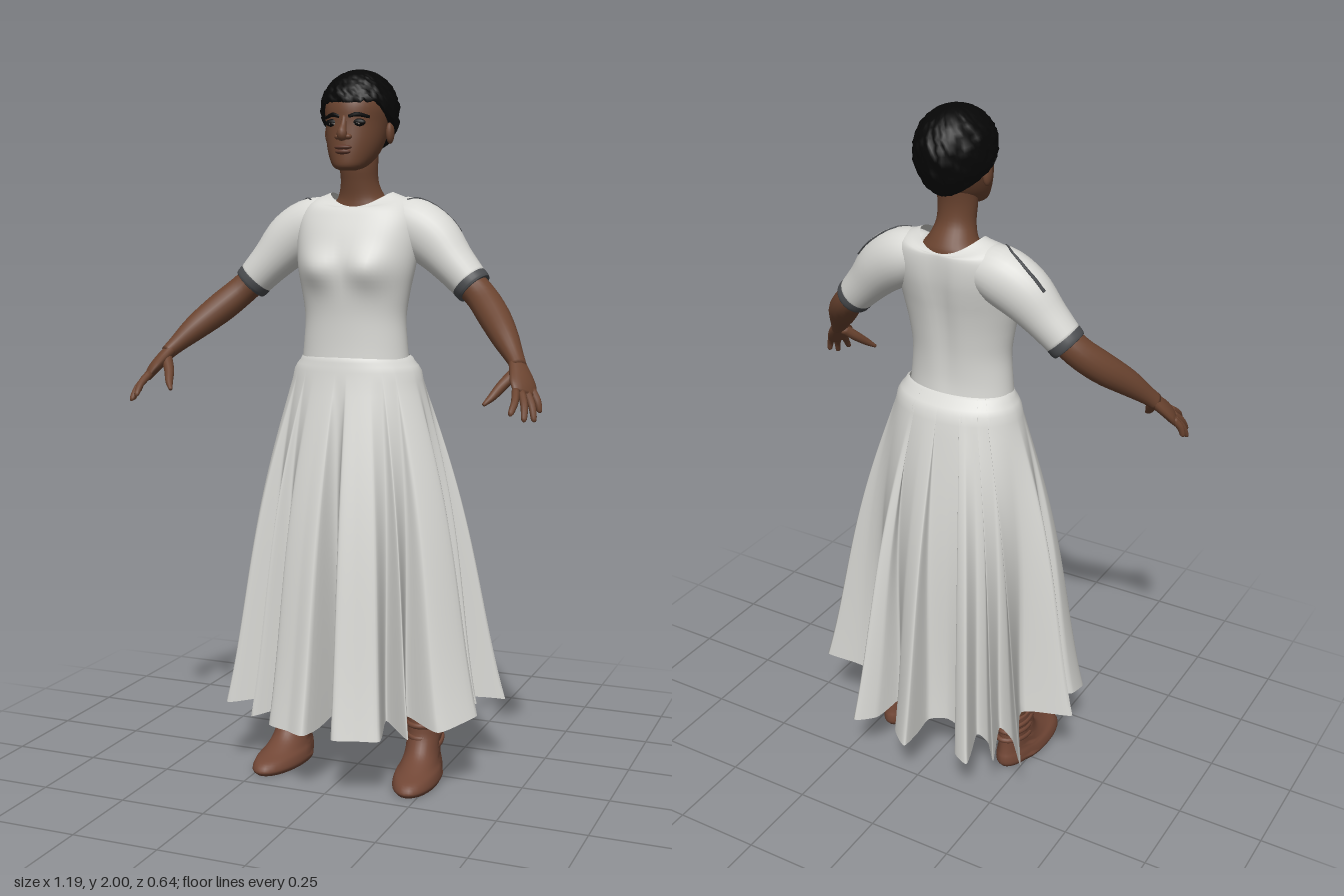
import * as THREE from 'three';

const mat = (name, color, side = THREE.FrontSide) => {
  const m = new THREE.MeshStandardMaterial({ color, side });
  m.name = name;
  return m;
};

// Smoothly resample rows of numbers into `steps` parts per gap
function smooth(rows, steps) {
  const curve = new THREE.CubicInterpolant(rows.map((_, i) => i), rows.flat(), rows[0].length);
  const out = [];
  const n = (rows.length - 1) * steps;
  for (let i = 0; i <= n; i++) out.push([...curve.evaluate(i / steps)]);
  return out;
}

// Skin a list of closed rings of Vector3, with optional end caps
function skin(rings, capStart = true, capEnd = true) {
  const n = rings[0].length, pos = [], idx = [];
  rings.forEach(r => r.forEach(p => pos.push(p.x, p.y, p.z)));
  for (let i = 0; i < rings.length - 1; i++) {
    for (let j = 0; j < n; j++) {
      const a = i * n + j, b = i * n + (j + 1) % n;
      idx.push(a, b, a + n, b, b + n, a + n);
    }
  }
  const cap = (row, flip) => {
    const c = rings[row].reduce((s, p) => s.add(p), new THREE.Vector3()).divideScalar(n);
    const k = pos.length / 3;
    pos.push(c.x, c.y, c.z);
    for (let j = 0; j < n; j++) {
      const a = row * n + j, b = row * n + (j + 1) % n;
      if (flip) idx.push(k, b, a); else idx.push(k, a, b);
    }
  };
  if (capStart) cap(0, true);
  if (capEnd) cap(rings.length - 1, false);
  const g = new THREE.BufferGeometry();
  g.setAttribute('position', new THREE.Float32BufferAttribute(pos, 3));
  g.setIndex(idx);
  g.computeVertexNormals();
  return g;
}

// Upright form from rows of [y, half width, front z, back z, centre x]
function upright(rows, tweak, seg = 40, steps = 4) {
  return smooth(rows.map(r => [r[0], r[1], r[2], r[3], r[4] || 0]), steps).map(([y, rx, zf, zb, cx], i, all) =>
    Array.from({ length: seg }, (_, j) => {
      const a = j / seg * Math.PI * 2;
      const p = new THREE.Vector3(cx + rx * Math.sin(a), y, (zf + zb) / 2 + (zf - zb) / 2 * Math.cos(a));
      if (tweak) tweak(p, a, i / (all.length - 1));
      return p;
    }));
}

// Limb along rows of [x, y, z, radius along wide axis, other radius]
function limb(rows, s = 1, wide = [0, 0, 1], seg = 14, steps = 4) {
  const pts = smooth(rows.map(r => [r[0] * s, r[1], r[2], r[3], r[4] ?? r[3]]), steps);
  const at = i => new THREE.Vector3(...pts[Math.min(Math.max(i, 0), pts.length - 1)].slice(0, 3));
  return skin(pts.map(([, , , ra, rb], i) => {
    const t = at(i + 1).sub(at(i - 1)).normalize();
    const a = new THREE.Vector3(wide[0] * s, wide[1], wide[2]);
    a.addScaledVector(t, -a.dot(t)).normalize();
    const b = t.clone().cross(a);
    return Array.from({ length: seg }, (_, j) => {
      const q = j / seg * Math.PI * 2;
      return at(i).addScaledVector(a, ra * Math.cos(q)).addScaledVector(b, rb * Math.sin(q));
    });
  }));
}

export function createModel() {
  const model = new THREE.Group();
  model.name = 'womanInDress';
  const cloth = mat('dress cloth', 0xd8d8d4, THREE.DoubleSide);
  const trim = mat('cuff trim', 0x4b4d50, THREE.DoubleSide);
  const flesh = mat('skin', 0x6b4430);
  const lip = mat('lips', 0x5f392c);
  const black = mat('hair', 0x060606, THREE.DoubleSide);
  const white = mat('eye white', 0x8a8078);
  const leather = mat('boot leather', 0x724736);
  const add = (name, geo, m) => {
    const mesh = new THREE.Mesh(geo, m);
    mesh.name = name;
    model.add(mesh);
    return mesh;
  };
  const ball = (name, m, x, y, z, rx, ry, rz) => {
    const b = add(name, new THREE.SphereGeometry(1, 16, 12), m);
    b.position.set(x, y, z);
    b.scale.set(rx, ry, rz);
  };
  const step = THREE.MathUtils.smoothstep;

  // Bodice with bust, spine groove, squarer shoulders and scooped neckline
  const bodice = add('bodice', skin(upright([
    [1.19, .158, .118, -.085], [1.25, .152, .115, -.08], [1.32, .148, .115, -.082], [1.39, .158, .12, -.09],
    [1.45, .17, .12, -.1], [1.5, .177, .114, -.11], [1.55, .18, .099, -.118], [1.6, .176, .075, -.12],
    [1.64, .147, .052, -.115], [1.664, .092, .035, -.105],
  ], (p, a, v) => {
    const square = .2 * step(v, .4, .75) * (1 - step(v, .88, 1));
    p.x *= Math.pow(Math.abs(Math.sin(a)) + 1e-6, -square);
    if (Math.cos(a) > 0) {
      const dx = (Math.abs(p.x) - .075) / .06, dy = (p.y - 1.455) / .052;
      p.z += .03 * Math.exp(-dx * dx - dy * dy);
    } else p.z += .012 * Math.exp(-((p.x / .03) ** 2)) * Math.sin(Math.PI * v);
    p.y -= .04 * Math.cos(a) ** 2 * step(v, .8, 1);
  }, 56), false, false), cloth);

  // Skirt: hem outline [x, z], running from the front centre round by +x
  const hem = [
    [0, .13], [.04, .3], [.1, .288], [.17, .265], [.15, .16], [.24, .23], [.2, .13], [.31, .18], [.39, .08],
    [.29, .03], [.36, -.01], [.29, -.05], [.415, -.11], [.3, -.11], [.2, -.13], [.2, -.29], [.145, -.25], [.11, -.17],
    [.065, -.27], [0, -.32], [-.005, -.2], [-.06, -.175], [-.11, -.19], [-.145, -.275], [-.2, -.3], [-.17, -.19],
    [-.215, -.2], [-.26, -.25], [-.225, -.15], [-.28, -.17], [-.34, -.23], [-.26, -.08], [-.4, -.02], [-.29, .04],
    [-.35, .08], [-.34, .17], [-.21, .12], [-.24, .22], [-.15, .15], [-.17, .25], [-.1, .28], [-.04, .3],
  ];
  const outline = new THREE.CatmullRomCurve3(hem.map(([x, z]) => new THREE.Vector3(x, 0, z)), true, 'catmullrom', .3);
  const around = hem.length * 7;
  const edge = Array.from({ length: around }, (_, j) => outline.getPoint(j / around));
  const oval = (p, rx, rf, rb, y) => {
    const a = Math.atan2(p.x / .4, p.z / .3);
    return new THREE.Vector3(rx * Math.sin(a), y, Math.cos(a) * (Math.cos(a) > 0 ? rf : rb));
  };
  // The folds grow from a smooth hip down to the hem
  const skirt = [];
  for (let i = 0; i <= 24; i++) {
    const v = i / 24, bulge = 1 + .2 * Math.sin(Math.PI * v) * v;
    const lerp = (a, b) => a + (b - a) * v;
    skirt.push(edge.map(p => {
      const fold = p.clone().sub(oval(p, .31, .23, .23, 0)).multiplyScalar(Math.pow(1 - v, 1.15));
      const hemY = .225 - (p.z > 0 ? .045 : .065) * step(Math.abs(p.z), .06, .26);
      return oval(p, lerp(.31, .192) * bulge, lerp(.23, .132) * bulge, lerp(.23, .132) * bulge, lerp(hemY, 1.145)).add(fold);
    }));
  }
  [[.187, .128, .126, 1.17], [.178, .125, .115, 1.185], [.168, .122, .1, 1.197], [.162, .12, .092, 1.208], [.154, .114, .084, 1.213]]
    .forEach(r => skirt.push(edge.map(p => oval(p, ...r))));
  add('pleatedSkirt', skin(skirt, false, false), cloth);

  // Neck and head
  add('neck', skin(upright([
    [1.56, .11, .04, -.1], [1.62, .092, .032, -.104], [1.65, .068, .03, -.092], [1.69, .054, .036, -.066],
    [1.74, .054, .045, -.06], [1.8, .055, .04, -.07],
  ], null, 28)), flesh);
  add('head', skin(upright([
    [1.722, .022, .096, .05], [1.732, .044, .111, .01], [1.76, .064, .113, -.045], [1.8, .078, .11, -.08],
    [1.85, .086, .104, -.108], [1.9, .09, .1, -.118], [1.95, .075, .07, -.1], [1.98, .035, .02, -.05],
  ])), flesh);
  add('nose', limb([[0, 1.866, .097, .007], [0, 1.842, .106, .009], [0, 1.82, .116, .014], [0, 1.806, .109, .012]], 1, [1, 0, 0]), flesh);
  ball('upperLip', lip, 0, 1.783, .108, .026, .007, .0125);
  ball('lowerLip', lip, 0, 1.771, .107, .023, .008, .013);

  // Cropped curly hair, lower at the nape than at the forehead
  const hairRings = [];
  for (let i = -1; i <= 20; i++) {
    const v = Math.max(i, 0) / 20;
    hairRings.push(Array.from({ length: 72 }, (_, j) => {
      const a = j / 72 * Math.PI * 2, c = Math.cos(a);
      const noise = Math.sin(i * 12.9898 + j * 78.233) * 43758.5453;
      const curl = noise - Math.floor(noise) - .5;
      const low = (c > 0 ? 1.84 + .065 * Math.min(1, c * 1.5) : 1.84 + .065 * c) + .008 * curl;
      const y = low + (1.998 - low) * Math.sin(v * Math.PI / 2);
      const h = (y - 1.885) / .1135;
      let r = h > 0 ? Math.sqrt(Math.max(0, 1 - h * h)) : 1 - .42 * h * h;
      r *= 1 + .1 * curl;
      if (i < 0) r *= .72;
      return new THREE.Vector3(.107 * r * Math.sin(a), y, -.017 + .122 * r * c);
    }));
  }
  add('hair', skin(hairRings, false, true), black);

  for (const s of [1, -1]) {
    const side = s > 0 ? 'left' : 'right';
    // Face details
    ball(side + 'Ear', flesh, s * .091, 1.825, -.012, .011, .03, .018);
    ball(side + 'Nostril', flesh, s * .014, 1.811, .106, .011, .008, .011);
    ball(side + 'EyeLashes', black, s * .036, 1.849, .09, .023, .011, .0095);
    ball(side + 'EyeWhite', white, s * .036, 1.846, .0935, .012, .0045, .0075);
    ball(side + 'Iris', black, s * .036, 1.846, .098, .006, .005, .0045);
    add(side + 'Eyebrow', limb([[.013, 1.865, .1, .005], [.036, 1.871, .094, .006], [.064, 1.864, .074, .004]], s, [0, 1, 0], 8), black);

    // Sleeve and cuff
    const sleeve = add(side + 'Sleeve', limb([
      [.06, 1.587, -.037, .06, .054], [.14, 1.573, -.036, .073, .079], [.212, 1.533, -.03, .07, .079],
      [.275, 1.47, -.02, .06, .062], [.333, 1.41, -.012, .051, .052],
    ], s, [0, 0, 1], 28), cloth);
    add(side + 'Cuff', limb([
      [.319, 1.424, -.014, .052, .053], [.325, 1.418, -.013, .053, .054], [.335, 1.408, -.012, .0525, .0535], [.341, 1.402, -.011, .05, .051],
    ], s, [0, 0, 1], 28), trim);

    // Dark seam laid over the top of the shoulder
    const drop = (x, z) => new THREE.Raycaster(new THREE.Vector3(x * s, 3, z), new THREE.Vector3(0, -1, 0))
      .intersectObjects([bodice, sleeve])[0].point.y;
    const seam = [[.285, -.054], [.26, -.058], [.235, -.058], [.21, -.053], [.185, -.044], [.165, -.028], [.145, -.005]];
    add(side + 'ShoulderSeam', limb(seam.map(([x, z], i) => [x, drop(x, z), z, .0075 - .0009 * i, .003]), s, [0, 0, 1], 8), trim);

    // Bare arm, palm and fingers
    add(side + 'Arm', limb([
      [.3, 1.44, -.015, .042], [.36, 1.385, .002, .043], [.41, 1.335, .043, .044], [.46, 1.282, .1, .037],
      [.5, 1.235, .145, .027, .025], [.52, 1.21, .168, .025, .02],
    ], s, [0, 0, 1], 18), flesh);
    const across = [.45, 0, -.9];
    add(side + 'Palm', limb([
      [.508, 1.225, .155, .022, .018], [.528, 1.195, .182, .034, .018], [.543, 1.168, .207, .041, .016], [.552, 1.146, .224, .037, .011],
    ], s, across, 16), flesh);
    const fingers = [
      ['IndexFinger', [.534, 1.158, .246], [.54, 1.102, .308]], ['MiddleFinger', [.546, 1.152, .232], [.568, 1.086, .285]],
      ['RingFinger', [.556, 1.15, .214], [.584, 1.082, .25]], ['LittleFinger', [.564, 1.154, .195], [.588, 1.1, .212]],
    ];
    fingers.forEach(([name, [x, y, z], [u, v, w]]) => add(side + name, limb([
      [x, y, z, .0105], [(x + u) / 2 + .005, (y + v) / 2 + .003, (z + w) / 2 + .004, .0098], [u, v + .006, w, .0075], [u, v, w, .003],
    ], s, across, 10), flesh));
    add(side + 'Thumb', limb([
      [.515, 1.2, .18, .016], [.49, 1.168, .212, .0145], [.472, 1.14, .245, .011], [.455, 1.12, .268, .005],
    ], s, across, 10), flesh);

    // Leg, ankle boot and its straps
    add(side + 'Leg', limb([[.2, .12, -.025, .045], [.2, .25, -.028, .05], [.185, .45, -.02, .058], [.14, .75, -.005, .066], [.1, 1.05, .01, .072]], s), flesh);
    const cx = s * .204;
    add(side + 'Boot', skin(upright([
      [0, .06, .195, -.082, cx], [.014, .066, .208, -.092, cx], [.035, .062, .19, -.092, cx], [.052, .054, .14, -.087, cx],
      [.08, .05, .085, -.082, cx], [.12, .051, .056, -.08, cx], [.155, .054, .05, -.088, cx], [.18, .054, .048, -.092, cx],
    ], p => {
      // Narrow heel and slightly turned-out toes
      p.x = cx + (p.x - cx) * (p.z < 0 ? .9 : 1) + s * .08 * Math.max(0, p.z);
    }, 32)), leather);
    [[.095, .047, .077, .3], [.125, .047, .067, .12], [.155, .05, .069, -.1]].forEach(([y, rx, rz, tilt], i) => {
      const strap = add(side + 'BootStrap' + (i + 1), new THREE.TorusGeometry(1, .1, 8, 32), leather);
      strap.position.set(cx, y, -.016);
      strap.rotation.x = Math.PI / 2 + tilt * .5;
      strap.scale.set(rx, rz, .08);
    });
  }
  return model;
}
